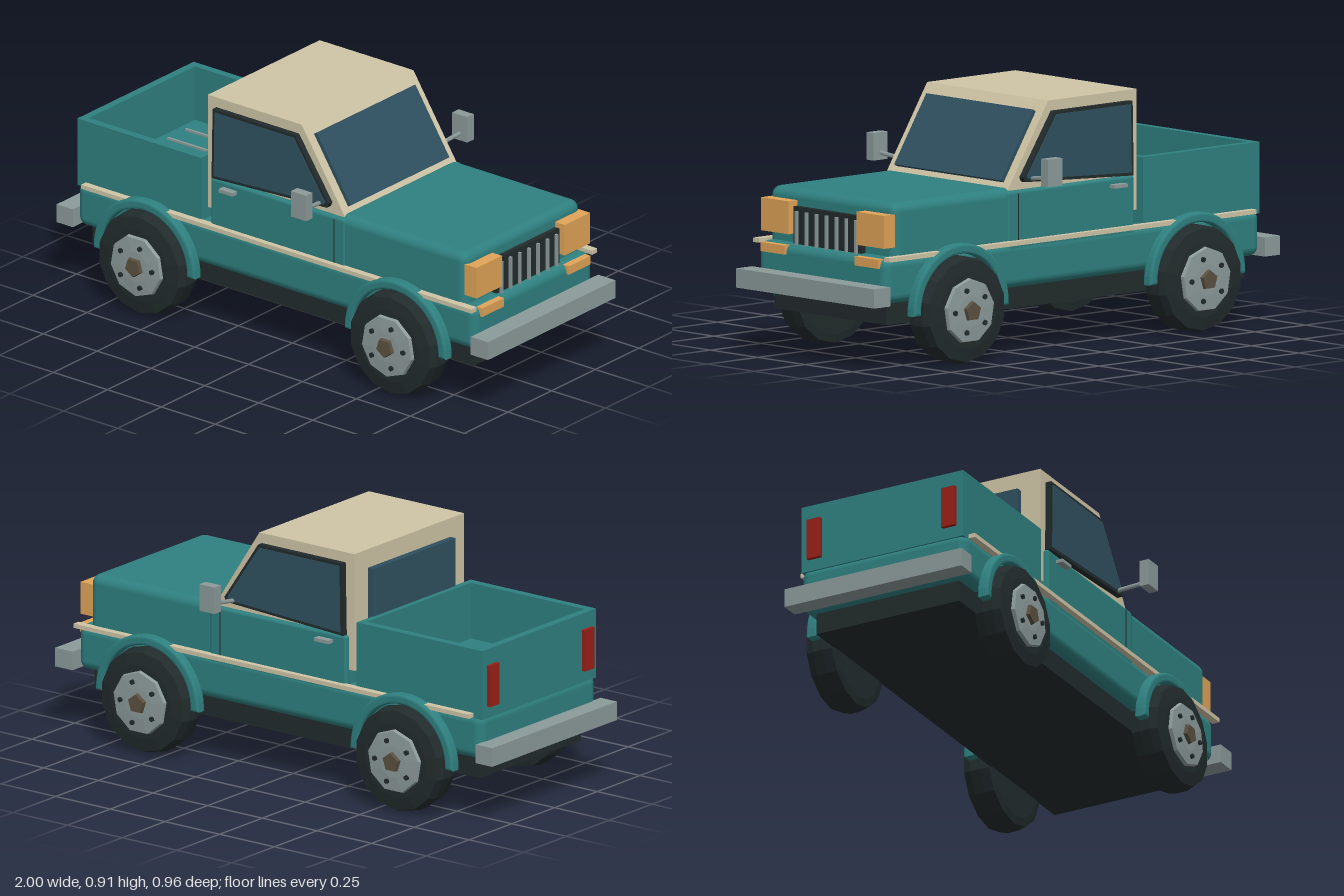
import * as THREE from 'three';
import { RoundedBoxGeometry } from 'three/addons/geometries/RoundedBoxGeometry.js';

const mat = (color, flatShading = false) => new THREE.MeshStandardMaterial({ color, flatShading });
const teal = mat(0x2f8080), cream = mat(0xcfc5a6), dark = mat(0x222b2c), glass = mat(0x2f5060);
const grey = mat(0x8c9a9a), orange = mat(0xe0a458), red = mat(0x9a2018), brown = mat(0x5a5040, true);
const tyreMat = mat(0x222b2c, true), rimMat = mat(0x8c9a9a, true);

export function createModel() {
  const model = new THREE.Group();
  model.name = 'pickupTruck';

  const add = (name, geometry, material, parent = model) => {
    const mesh = new THREE.Mesh(geometry, material);
    mesh.name = name;
    parent.add(mesh);
    return mesh;
  };
  // Box given by its extents; r > 0 rounds the edges
  const box = (name, material, [x0, x1], [y0, y1], [z0, z1], r = 0) => {
    const size = [x1 - x0, y1 - y0, Math.abs(z1 - z0)];
    const geometry = r ? new RoundedBoxGeometry(...size, 3, r) : new THREE.BoxGeometry(...size);
    const mesh = add(name, geometry, material);
    mesh.position.set((x0 + x1) / 2, (y0 + y1) / 2, (z0 + z1) / 2);
    return mesh;
  };
  // Side profile extruded across z, centred on zMid
  const slab = (name, material, points, depth, zMid = 0) => {
    const shape = new THREE.Shape(points.map(p => new THREE.Vector2(...p)));
    const geometry = new THREE.ExtrudeGeometry(shape, { depth, bevelEnabled: false });
    geometry.translate(0, 0, zMid - depth / 2);
    return add(name, geometry, material);
  };

  // Chassis and body
  box('chassis', dark, [-0.89, 0.875], [0.165, 0.28], [-0.295, 0.295]);
  box('lowerBody', teal, [-0.93, 0.92], [0.245, 0.415], [-0.34, 0.34], 0.035);
  box('hood', teal, [0.27, 0.87], [0.38, 0.61], [-0.333, 0.333], 0.035);
  box('doorBody', teal, [-0.31, 0.315], [0.38, 0.6], [-0.338, 0.338], 0.012);

  // Cab with sloping windshield
  slab('cab', cream, [[-0.335, 0.47], [-0.3, 0.47], [-0.3, 0.588], [0.31, 0.588], [0.1, 0.91], [-0.335, 0.91]], 0.64);
  box('rearWindow', glass, [-0.36, -0.33], [0.6, 0.84], [-0.24, 0.24]);
  const windshield = add('windshield', new THREE.BoxGeometry(0.02, 0.29, 0.565), glass);
  windshield.position.set(0.21, 0.75, 0);
  windshield.rotation.z = Math.atan2(0.21, 0.322);

  // Cargo bed
  box('bedFloor', teal, [-0.93, -0.355], [0.4, 0.45], [-0.33, 0.33]);
  box('tailgate', teal, [-0.93, -0.9], [0.41, 0.66], [-0.33, 0.33]);
  box('bedFrontWall', teal, [-0.38, -0.355], [0.41, 0.66], [-0.33, 0.33]);
  for (let i = -2; i <= 2; i++) {
    box('bedRail', grey, [-0.865, -0.385], [0.445, 0.458], [i * 0.104 - 0.005, i * 0.104 + 0.005]);
  }

  // Bumpers and grille
  box('frontBumper', grey, [0.92, 1], [0.245, 0.315], [-0.365, 0.365]);
  box('rearBumper', grey, [-1, -0.925], [0.245, 0.315], [-0.365, 0.365]);
  box('grille', dark, [0.85, 0.89], [0.4, 0.55], [-0.18, 0.18]);
  for (let i = -3; i <= 3; i++) {
    box('grilleBar', grey, [0.885, 0.9], [0.41, 0.535], [i * 0.0525 - 0.005, i * 0.0525 + 0.005]);
  }

  // Wheel: axis along y, outer side towards +y
  const profile = points => points.map(p => new THREE.Vector2(...p));
  const tyreGeo = new THREE.LatheGeometry(profile(
    [[0, 0.29], [0.16, 0.29], [0.19, 0.295], [0.197, 0.33], [0.197, 0.37], [0.187, 0.4], [0.14, 0.407], [0, 0.407]]), 14);
  const rimGeo = new THREE.LatheGeometry(profile([[0.122, 0.4], [0.116, 0.42], [0.06, 0.424], [0, 0.424]]), 9);
  const capGeo = new THREE.CylinderGeometry(0.036, 0.042, 0.025, 5);
  const boltGeo = new THREE.CylinderGeometry(0.01, 0.01, 0.016, 6);
  const makeWheel = () => {
    const wheel = new THREE.Group();
    wheel.name = 'wheel';
    add('tyre', tyreGeo, tyreMat, wheel);
    add('rim', rimGeo, rimMat, wheel);
    add('hubCap', capGeo, brown, wheel).position.y = 0.425;
    for (let i = 0; i < 5; i++) {
      const a = i * Math.PI * 2 / 5;
      add('wheelBolt', boltGeo, dark, wheel).position.set(0.08 * Math.cos(a), 0.422, 0.08 * Math.sin(a));
    }
    return wheel;
  };

  // Arched fender with rounded edges
  const arch = new THREE.Shape();
  arch.absarc(0, 0, 0.225, 0, Math.PI, false);
  arch.absarc(0, 0, 0.208, Math.PI, 0, true);
  const fenderGeo = new THREE.ExtrudeGeometry(arch,
    { depth: 0.024, bevelSize: 0.01, bevelThickness: 0.01, bevelSegments: 3, curveSegments: 16 });
  fenderGeo.translate(0, 0, -0.012);

  for (const s of [1, -1]) {
    const across = (a, b) => [s * a, s * b];

    for (const x of [-0.59, 0.575]) {
      const wheel = makeWheel();
      wheel.position.set(x, 0.2, 0);
      wheel.rotation.x = s * Math.PI / 2;
      model.add(wheel);
      add('fender', fenderGeo, teal).position.set(x, 0.205, s * 0.353);
    }

    // Side panels, trim and door details
    box('bedSide', teal, [-0.93, -0.355], [0.4, 0.66], across(0.303, 0.333));
    box('sideTrim', cream, [-0.89, 0.92], [0.404, 0.42], across(0.33, 0.36));
    box('doorHandle', grey, [-0.25, -0.185], [0.565, 0.578], across(0.335, 0.365));
    box('doorSeam', dark, [0.263, 0.267], [0.42, 0.59], across(0.33, 0.3395));
    slab('windowFrame', dark, [[-0.3, 0.6], [0.235, 0.628], [0.243, 0.645], [0.088, 0.872], [-0.295, 0.872]], 0.025, s * 0.33);
    slab('sideWindow', glass, [[-0.288, 0.612], [0.222, 0.638], [0.228, 0.648], [0.082, 0.861], [-0.284, 0.861]], 0.025, s * 0.333);

    // Lights
    box('headlight', orange, [0.86, 0.915], [0.45, 0.57], across(0.18, 0.325));
    box('turnSignal', orange, [0.89, 0.93], [0.377, 0.41], across(0.185, 0.31));
    box('tailLight', red, [-0.945, -0.92], [0.445, 0.6], across(0.25, 0.305));

    // Wing mirror on its arm
    box('mirror', grey, [0.18, 0.25], [0.625, 0.725], across(0.443, 0.48));
    const path = new THREE.LineCurve3(new THREE.Vector3(0.2, 0.637, s * 0.325), new THREE.Vector3(0.214, 0.652, s * 0.45));
    add('mirrorArm', new THREE.TubeGeometry(path, 1, 0.008, 6), grey);
  }
  return model;
}
